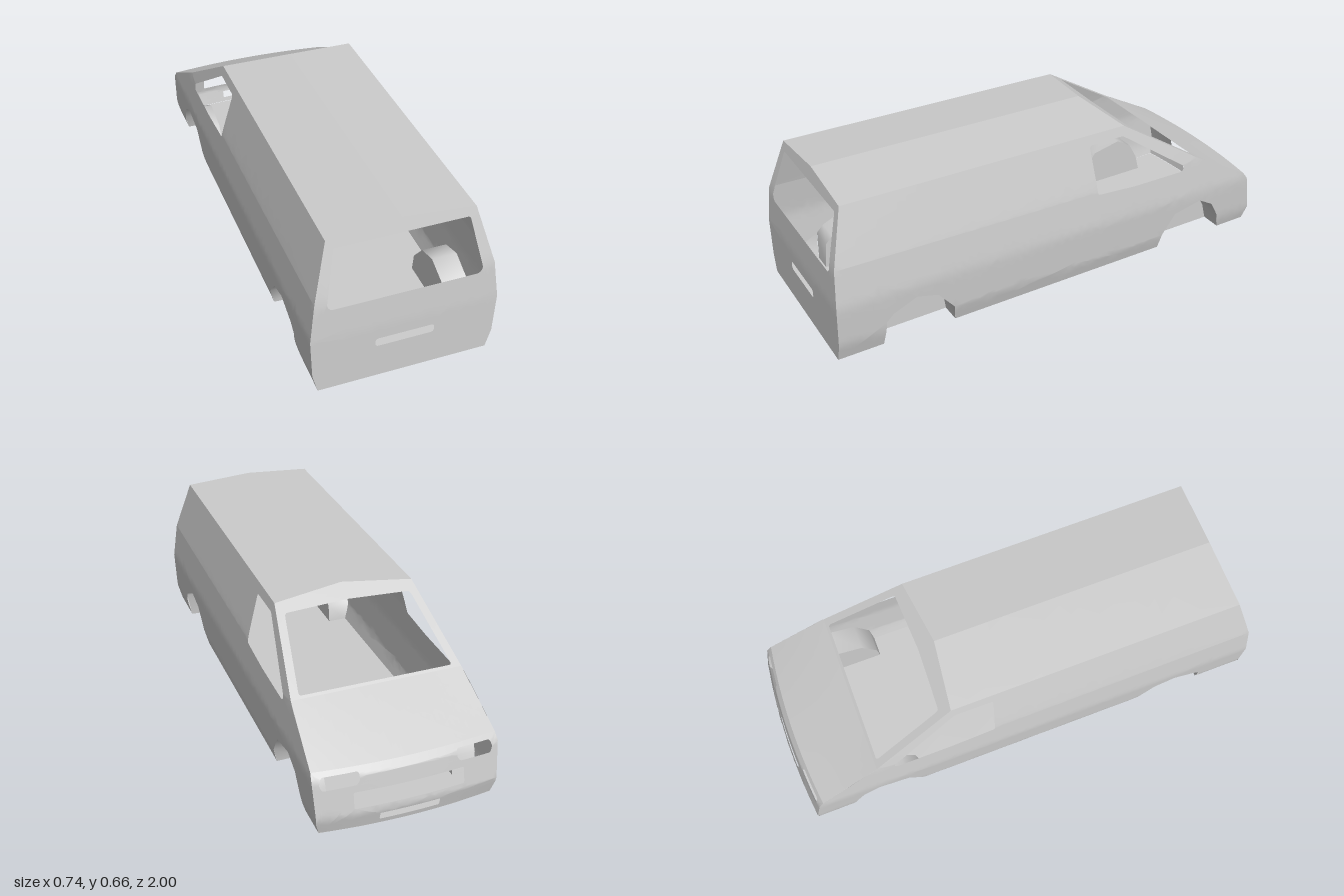
import * as THREE from 'three';
import { mergeVertices } from 'three/addons/utils/BufferGeometryUtils.js';

const material = new THREE.MeshStandardMaterial({ color: 0xcccccc, side: THREE.DoubleSide });

// piecewise linear curve through [key, value] points
const curve = (pts) => (k) => {
  let i = 0;
  while (i < pts.length - 2 && k > pts[i + 1][0]) i++;
  const [a, b] = [pts[i], pts[i + 1]];
  return a[1] + (b[1] - a[1]) * (k - a[0]) / (b[0] - a[0]);
};

// body lines, all by height: half width, rear outline, nose outline
const EAVE = 0.637, RIDGE = 0.659, INNER = 0.26;
const width = curve([[0, 0.34], [0.08, 0.362], [0.25, 0.37], [0.41, 0.35], [EAVE, 0.288]]);
const rearZ = curve([[0, 1], [0.25, 0.998], [0.41, 0.985], [0.66, 0.915]]);
const noseZ = curve([[0.03, -0.985], [0.1, -1], [0.25, -0.972], [0.28, -0.95], [0.42, -0.67], [0.65, -0.3]]);
const bow = curve([[0, 0.025], [0.28, 0.025], [0.42, 0], [1, 0]]);
const sillY = (z) => 0.016 - 0.013 * z;
const frontZ = (x, y) => noseZ(y) + bow(y) * Math.pow(Math.min(1, Math.abs(x) / width(y)), 2);

// wheel arches as [z, y], from rear to nose
const arches = [
  [[0.81, sillY(0.81)], [0.8, 0.12], [0.77, 0.15], [0.67, 0.195], [0.58, 0.17], [0.51, 0.085], [0.5, sillY(0.5)]],
  [[-0.49, sillY(-0.49)], [-0.5, 0.09], [-0.56, 0.18], [-0.69, 0.21], [-0.76, 0.17], [-0.8, 0.1], [-0.82, sillY(-0.82)]],
];

const outline = (pts) => new THREE.Shape(pts.map(([a, b]) => new THREE.Vector2(a, b)));

// closed hole with rounded corners
function hole(pts, r) {
  const path = new THREE.Path();
  const v = pts.map(([a, b]) => new THREE.Vector2(a, b));
  v.forEach((p, i) => {
    const toward = (q) => p.clone().add(q.clone().sub(p).setLength(r));
    const a = toward(v[(i + v.length - 1) % v.length]);
    const b = toward(v[(i + 1) % v.length]);
    if (i === 0) path.moveTo(a.x, a.y); else path.lineTo(a.x, a.y);
    path.quadraticCurveTo(p.x, p.y, b.x, b.y);
  });
  path.closePath();
  return path;
}
const boxHole = (x0, x1, y0, y1, r) => hole([[x0, y0], [x1, y0], [x1, y1], [x0, y1]], r);

// flat shape cut into small triangles, then bent onto the body by map(u, v)
function panel(name, shape, map, flip = false, size = 0.05) {
  const flat = new THREE.ShapeGeometry(shape, 4).toNonIndexed().attributes.position;
  const out = [];
  const split = (a, b, c) => {
    const d = [a.distanceTo(b), b.distanceTo(c), c.distanceTo(a)];
    const m = Math.max(...d);
    if (m < size) {
      for (const p of flip ? [a, c, b] : [a, b, c]) out.push(...map(p.x, p.y));
      return;
    }
    if (d[1] === m) [a, b, c] = [b, c, a];
    else if (d[2] === m) [a, b, c] = [c, a, b];
    const mid = a.clone().add(b).multiplyScalar(0.5);
    split(a, mid, c);
    split(mid, b, c);
  };
  const at = (i) => new THREE.Vector2(flat.getX(i), flat.getY(i));
  for (let i = 0; i < flat.count; i += 3) split(at(i), at(i + 1), at(i + 2));
  const bent = new THREE.BufferGeometry();
  bent.setAttribute('position', new THREE.Float32BufferAttribute(out, 3));
  const geometry = mergeVertices(bent, 1e-5);
  geometry.computeVertexNormals();
  const mesh = new THREE.Mesh(geometry, material);
  mesh.name = name;
  return mesh;
}

// mirrored outline across x = 0 from right-hand points listed bottom to top
const mirrored = (pts) => outline([...pts, ...pts.filter((p) => p[0] > 0).reverse().map(([x, y]) => [-x, y])]);
const edge = (...heights) => heights.map((y) => [width(y), y]);

function sidePanel(s) {
  const shape = outline([
    [1, sillY(1)], ...arches[0], ...arches[1],
    ...[0.03, 0.1, 0.25, 0.28, 0.42, EAVE].map((y) => [frontZ(width(y), y), y]),
    ...[EAVE, 0.41, 0.25].map((y) => [rearZ(y), y]),
  ]);
  // cab door window
  shape.holes.push(hole([[-0.148, 0.595], [-0.31, 0.597], [-0.6, 0.4], [-0.592, 0.377],
    [-0.35, 0.377], [-0.163, 0.388]], 0.012));
  return panel(s > 0 ? 'leftSide' : 'rightSide', shape, (z, y) => [s * width(y), y, z], s > 0);
}

// inner fender: arched roof strip plus inner wall
function wheelWell(s, arch, name) {
  const group = new THREE.Group();
  group.name = name;
  const strip = new THREE.PlaneGeometry(1, 1, arch.length - 1, 1);
  const p = strip.attributes.position;
  for (let i = 0; i < p.count; i++) {
    const [z, y] = arch[i % arch.length];
    p.setXYZ(i, s * (i < arch.length ? width(y) : INNER), y, z);
  }
  strip.computeVertexNormals();
  const liner = new THREE.Mesh(strip, material);
  liner.name = 'wellLiner';
  group.add(liner, panel('wellWall', outline(arch), (z, y) => [s * INNER, y, z], s > 0, 0.2));
  return group;
}

export function createModel() {
  const van = new THREE.Group();
  van.name = 'vanBody';

  // sides and wheel wells
  for (const s of [1, -1]) {
    van.add(sidePanel(s));
    arches.forEach((arch, i) => van.add(wheelWell(s, arch, i ? 'noseWheelWell' : 'rearWheelWell')));
  }

  // roof with a shallow ridge
  const e = width(EAVE);
  const roofShape = (s) => outline([[0, noseZ(RIDGE)], [s * e, noseZ(EAVE)], [s * e, rearZ(EAVE)], [0, rearZ(RIDGE)]]);
  for (const s of [1, -1]) {
    van.add(panel('roof', roofShape(s),
      (x, z) => [x, EAVE + (RIDGE - EAVE) * (1 - Math.abs(x) / e), z], true, 0.1));
  }

  // rear wall with window and plate slot
  const rear = mirrored([...edge(0.003, 0.08, 0.25, 0.41, EAVE), [0, RIDGE]]);
  rear.holes.push(
    hole([[-0.29, 0.375], [0.29, 0.375], [0.304, 0.395], [0.262, 0.604], [-0.262, 0.604], [-0.304, 0.395]], 0.01),
    boxHole(-0.117, 0.117, 0.151, 0.188, 0.014));
  van.add(panel('rearWall', rear, (x, y) => [x, y, rearZ(y)]));

  const onNose = (x, y) => [x, y, frontZ(x, y)];

  // windscreen frame
  const screen = mirrored([...edge(0.42, EAVE), [0, RIDGE]]);
  screen.holes.push(hole([[-0.312, 0.427], [0.312, 0.427], [0.262, 0.61], [0, 0.617], [-0.262, 0.61]], 0.01));
  van.add(panel('windscreenFrame', screen, onNose, true));

  // hood
  van.add(panel('hood', mirrored(edge(0.28, 0.42)), onNose, true, 0.04));

  // nose with headlight, grille and bumper openings
  const nose = mirrored(edge(0.03, 0.08, 0.1, 0.25, 0.28));
  nose.holes.push(
    hole([[0.205, 0.216], [0.335, 0.212], [0.345, 0.235], [0.335, 0.262], [0.195, 0.264], [0.192, 0.235]], 0.008),
    hole([[-0.205, 0.216], [-0.335, 0.212], [-0.345, 0.235], [-0.335, 0.262], [-0.195, 0.264], [-0.192, 0.235]], 0.008),
    boxHole(-0.22, 0.22, 0.122, 0.188, 0.008),
    boxHole(-0.12, 0.12, 0.05, 0.082, 0.005));
  van.add(panel('nose', nose, onNose, true, 0.03));

  // floor, notched around the wheel wells
  const w = (z) => width(sillY(z));
  const notched = arches.flatMap((a) => {
    const [z0, z1] = [a[0][0], a[a.length - 1][0]];
    return [[w(z0), z0], [INNER, z0], [INNER, z1], [w(z1), z1]];
  });
  const floor = mirrored([[w(1), 1], ...notched, [w(-0.96), frontZ(w(-0.96), 0.03)],
    [0.18, frontZ(0.18, 0.03)], [0, noseZ(0.03)]]);
  van.add(panel('floor', floor, (x, z) => [x, sillY(z), z], false, 0.2));

  return van;
}
